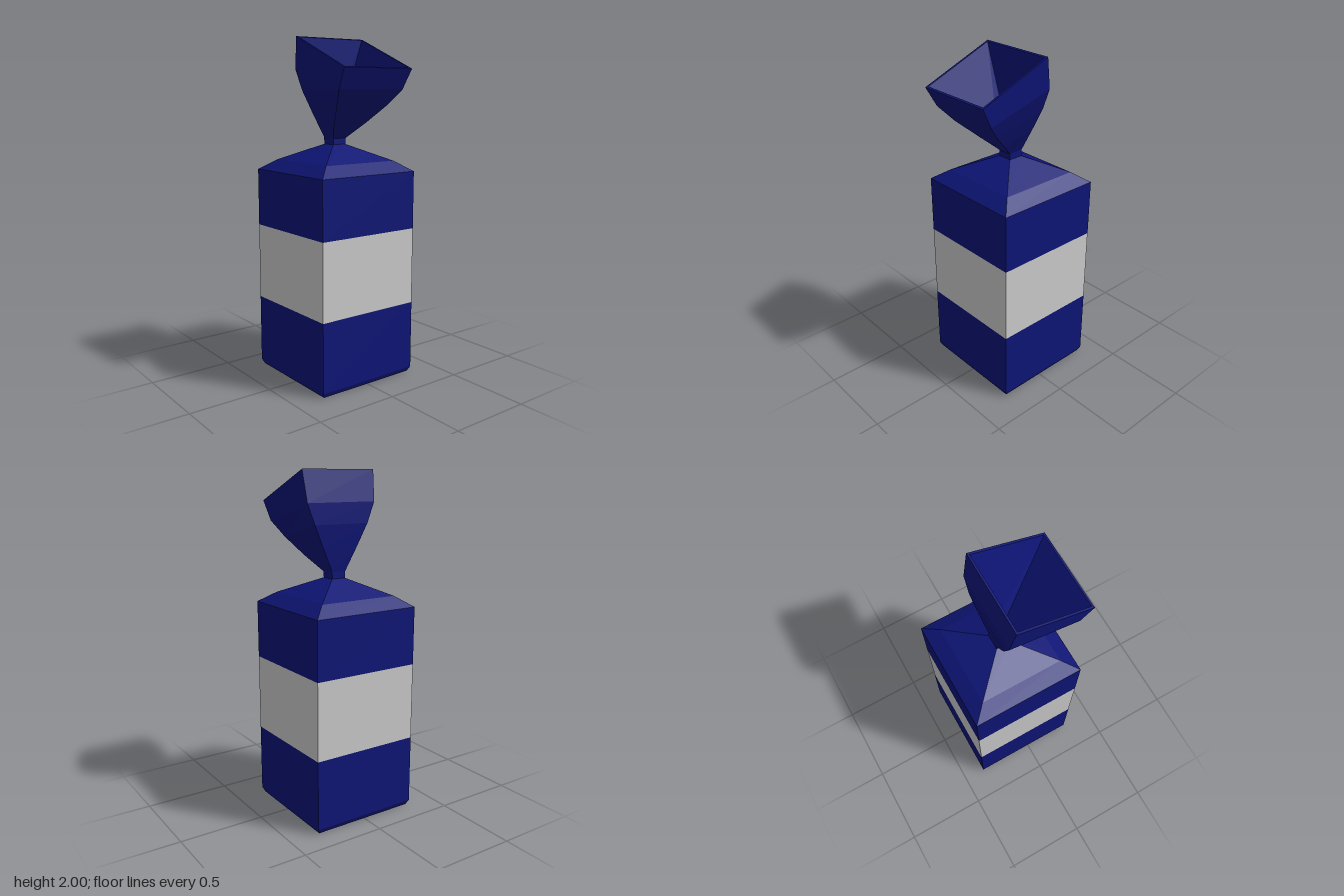
import * as THREE from 'three';

const navy = new THREE.MeshStandardMaterial({ color: 0x0e1576, flatShading: true });
const grey = new THREE.MeshStandardMaterial({ color: 0xcccccc, flatShading: true });

// Skin through four-cornered rings [xLeft, yLeft, xRight, yRight, halfDepth]
function loft(name, rings, material, capStart, capEnd) {
  const corners = rings.map(([xl, yl, xr, yr, z]) => [[xl, yl, z], [xr, yr, z], [xr, yr, -z], [xl, yl, -z]]);
  const pos = [];
  const quad = (a, b, c, d) => pos.push(...a, ...b, ...c, ...a, ...c, ...d);
  for (let r = 0; r < corners.length - 1; r++) {
    const low = corners[r], high = corners[r + 1];
    for (let i = 0; i < 4; i++) {
      const j = (i + 1) % 4;
      quad(low[i], low[j], high[j], high[i]);
    }
  }
  if (capStart) quad(...[...corners[0]].reverse());
  if (capEnd) quad(...corners[corners.length - 1]);
  const geo = new THREE.BufferGeometry();
  geo.setAttribute('position', new THREE.Float32BufferAttribute(pos, 3));
  geo.computeVertexNormals();
  const mesh = new THREE.Mesh(geo, material);
  mesh.name = name;
  return mesh;
}

// Level square ring around the body axis
const CX = -0.035;
const square = (y, h) => [CX - h, y, CX + h, y, h];

export function createModel() {
  const group = new THREE.Group();
  group.name = 'wrappedSweet';

  // Square body with a bevelled foot, a plain band and sloping shoulders
  group.add(loft('lowerWrapper', [square(0, 0.315), square(0.03, 0.33), square(0.44, 0.33)], navy, true, false));
  group.add(loft('labelBand', [square(0.44, 0.33), square(0.895, 0.33)], grey, false, false));
  group.add(loft('upperWrapper', [square(0.895, 0.33), square(1.235, 0.33)], navy, false, false));
  group.add(loft('shoulders', [square(1.235, 0.33), square(1.295, 0.245), square(1.39, 0.044)], navy, false, false));

  // Pinched neck flaring into a tilted, hollow end
  group.add(loft('twistedEnd', [
    square(1.39, 0.044),
    [-0.08, 1.43, 0.01, 1.425, 0.045],
    [-0.097, 1.57, 0.11, 1.515, 0.115],
    [-0.11, 1.7, 0.22, 1.615, 0.178],
    [-0.109, 1.82, 0.3, 1.705, 0.225],
    [-0.077, 2.0, 0.362, 1.82, 0.238],
    // rim, then the inside down to its floor
    [-0.065, 1.995, 0.35, 1.825, 0.225],
    [-0.065, 1.45, 0.012, 1.45, 0.043],
  ], navy, false, true));

  return group;
}
